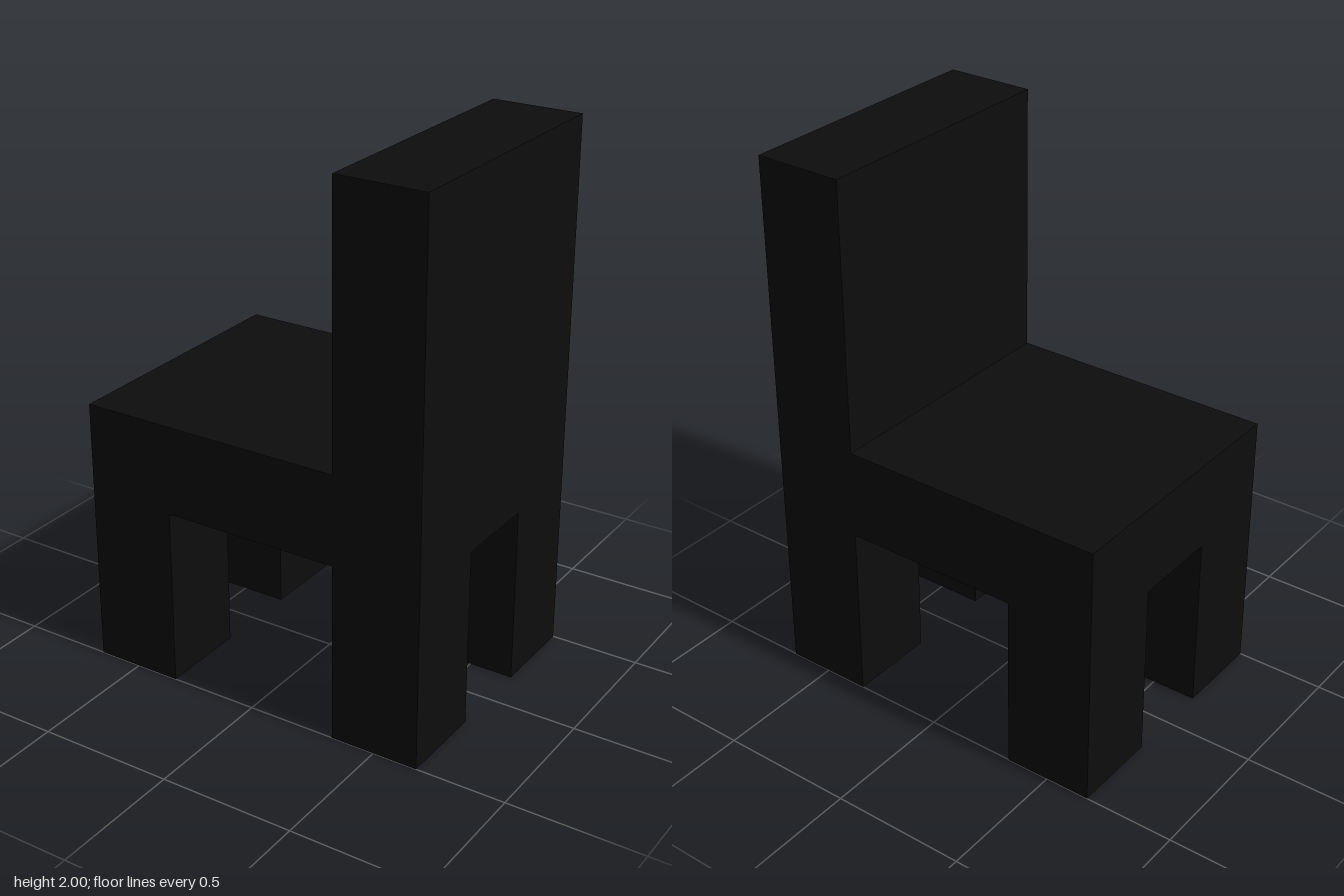
import * as THREE from 'three';

const U = 1 / 3; // every part is a whole number of these units

export function createModel() {
  const chair = new THREE.Group();
  chair.name = 'chair';
  const material = new THREE.MeshStandardMaterial({ color: 0x0d0d0d });

  // Adds a box: size and centre in units, y measured to its underside
  const addBox = (name, [w, h, d], [x, y, z]) => {
    const mesh = new THREE.Mesh(new THREE.BoxGeometry(w * U, h * U, d * U), material);
    mesh.position.set(x * U, (y + h / 2) * U, z * U);
    mesh.name = name;
    chair.add(mesh);
  };

  // Seat slab, butting against the backrest
  addBox('seat', [3, 1, 3], [-0.5, 2, 0]);

  // Tall backrest on the +x side
  addBox('backrest', [1, 4, 3], [1.5, 2, 0]);

  // Four square legs at the corners
  for (const x of [-1.5, 1.5]) {
    for (const z of [-1, 1]) {
      addBox(x > 0 ? 'backrestLeg' : 'seatLeg', [1, 2, 1], [x, 0, z]);
    }
  }

  return chair;
}
